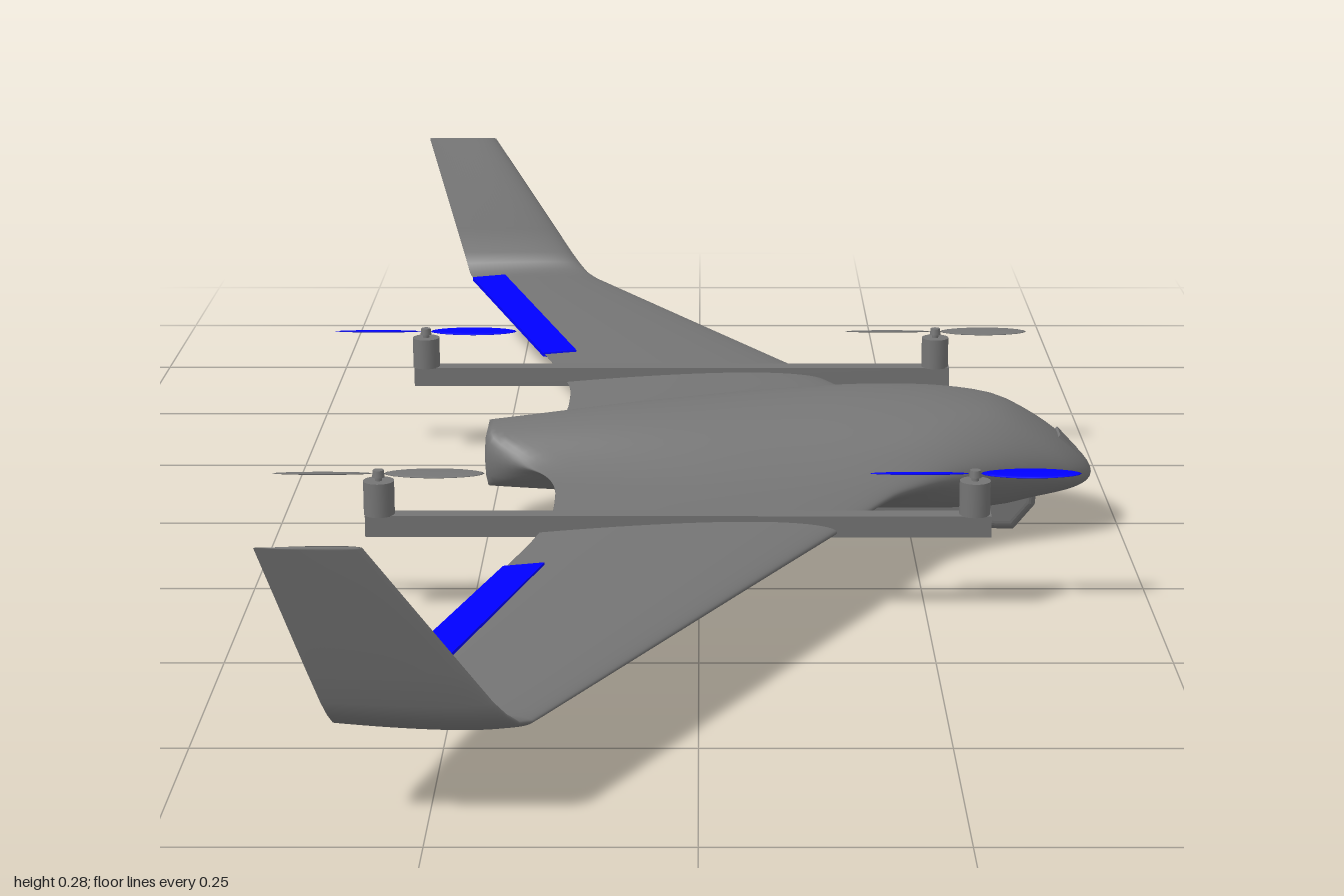
import * as THREE from 'three';

const grey = new THREE.MeshStandardMaterial({ color: 0x747474, side: THREE.DoubleSide });
const blue = new THREE.MeshStandardMaterial({ color: 0x0000ff, side: THREE.DoubleSide });

// smooth curve through [t, value] pairs
function curve(pts) {
  const slope = (i) => {
    const a = pts[Math.max(i - 1, 0)], b = pts[Math.min(i + 1, pts.length - 1)];
    return (b[1] - a[1]) / (b[0] - a[0]);
  };
  return (t) => {
    if (t <= pts[0][0]) return pts[0][1];
    let i = 0;
    while (i < pts.length - 2 && t > pts[i + 1][0]) i++;
    const [t0, v0] = pts[i], [t1, v1] = pts[i + 1], h = t1 - t0;
    const u = Math.min((t - t0) / h, 1), u2 = u * u, u3 = u2 * u;
    return (2 * u3 - 3 * u2 + 1) * v0 + (u3 - 2 * u2 + u) * h * slope(i)
      + (3 * u2 - 2 * u3) * v1 + (u3 - u2) * h * slope(i + 1);
  };
}

// planform: leading and trailing edge x against span
const lead = curve([[-0.05, 0.445], [0, 0.467], [0.05, 0.445], [0.08, 0.40], [0.1, 0.36], [0.13, 0.30],
  [0.16, 0.26], [0.2, 0.222], [0.3, 0.17], [0.5, 0.065], [0.9, -0.143]]);
const trail = curve([[0, -0.252], [0.035, -0.252], [0.055, -0.232], [0.08, -0.205], [0.11, -0.182],
  [0.15, -0.168], [0.2, -0.163], [0.3, -0.167], [0.46, -0.205], [0.9, -0.325]]);
// fuselage side profile: axis height and half heights against x
const axis = curve([[-0.25, 0.093], [0, 0.097], [0.2, 0.1], [0.35, 0.095], [0.4, 0.085], [0.465, 0.07]]);
const above = curve([[-0.25, 0.036], [-0.1, 0.05], [0, 0.057], [0.1, 0.064], [0.2, 0.069], [0.3, 0.068], [0.4, 0.055], [0.465, 0.04]]);
const below = curve([[-0.25, 0.04], [0, 0.054], [0.2, 0.066], [0.35, 0.06], [0.4, 0.046], [0.465, 0.035]]);
const bodyWidth = curve([[-0.25, 0.058], [-0.15, 0.08], [0, 0.12], [0.1, 0.126], [0.47, 0.126]]);

const airfoil = (s) => 10 * (0.2969 * Math.sqrt(s) - 0.126 * s - 0.3516 * s * s + 0.2843 * s ** 3 - 0.1036 * s ** 4);
const roundEnd = (d, len) => Math.sqrt(Math.max(0, 1 - (1 - Math.min(d / len, 1)) ** 2));

// blended wing and fuselage, lofted across the span with upturned tips
function airframe() {
  const half = [];
  for (let i = 0; i <= 30; i++) half.push({ z: 0.3 * (i / 30) ** 1.15 });
  for (let i = 1; i <= 8; i++) half.push({ z: 0.3 + 0.6 * i / 8 });
  // winglet stations: z, y, leading x, trailing x, tilt, half thickness
  for (const [z, y, le, te, tilt, th] of [
    [0.92, 0.0945, -0.153, -0.331, 0.2, 0.007], [0.935, 0.099, -0.164, -0.336, 0.6, 0.007],
    [0.945, 0.11, -0.175, -0.34, 1.0, 0.007], [0.952, 0.125, -0.187, -0.345, 1.25, 0.0065],
    [0.962, 0.16, -0.211, -0.356, 1.32, 0.006], [0.995, 0.286, -0.298, -0.395, 1.32, 0.004],
    [0.9955, 0.287, -0.302, -0.393, 1.32, 0]]) half.push({ z, y, le, te, tilt, th });
  const stations = [
    ...half.slice(1).reverse().map((s) => ({ ...s, side: -1 })),
    ...half.map((s) => ({ ...s, side: 1 }))];

  const N = 44, ring = 2 * N, pos = [], index = [];
  for (const st of stations) {
    const { z, side, tilt = 0 } = st;
    const le = st.le ?? lead(z), te = st.te ?? trail(z);
    const th = st.th ?? 0.0155 - 0.0085 * Math.min(z / 0.9, 1);
    const tailRound = 0.004 + THREE.MathUtils.clamp((z - 0.025) * 0.5, 0, 0.05);
    for (let k = 0; k < ring; k++) {
      const s = (1 + Math.cos(Math.PI * k / N)) / 2;
      const x = le + (te - le) * s, upper = k < N;
      const g = st.y ? 0 : Math.exp(-((z / bodyWidth(x)) ** 2.4));
      const close = roundEnd(le - x, 0.12) * roundEnd(x - te, tailRound);
      const h = th * Math.max(airfoil(s), 0) * (1 - g) + (upper ? above(x) : below(x)) * g * close;
      const wingY = st.y ?? 0.097 - 0.003 * z / 0.9;
      const mid = wingY + g * (axis(x) - wingY), off = upper ? h : -h;
      pos.push(x, mid + off * Math.cos(tilt), side * (z - off * Math.sin(tilt)));
    }
  }
  for (let i = 0; i < stations.length - 1; i++) for (let k = 0; k < ring; k++) {
    const a = i * ring + k, b = i * ring + (k + 1) % ring;
    index.push(a, a + ring, b, b, a + ring, b + ring);
  }
  const geo = new THREE.BufferGeometry();
  geo.setAttribute('position', new THREE.Float32BufferAttribute(pos, 3));
  geo.setIndex(index);
  geo.computeVertexNormals();
  return geo;
}

function add(parent, name, geo, mat, x = 0, y = 0, z = 0) {
  const mesh = new THREE.Mesh(geo, mat);
  mesh.name = name;
  mesh.position.set(x, y, z);
  parent.add(mesh);
  return mesh;
}

// two-bladed propeller lying along x
function propeller(mat) {
  const prop = new THREE.Group();
  prop.name = 'propeller';
  add(prop, 'hub', new THREE.CylinderGeometry(0.006, 0.007, 0.008, 16), grey);
  for (const s of [-1, 1]) {
    const blade = add(prop, 'blade', new THREE.SphereGeometry(1, 20, 10), mat, s * 0.061);
    blade.scale.set(0.055, 0.0015, 0.0115);
    blade.rotation.x = s * 0.2;
  }
  return prop;
}

// swept control surface, thicker at the hinge than at the rear
function elevon(side) {
  const geo = new THREE.BoxGeometry(1, 1, 1), p = geo.attributes.position;
  for (let i = 0; i < p.count; i++) {
    const front = p.getX(i) > 0, outer = p.getZ(i) > 0;
    const x = outer ? (front ? -0.283 : -0.33) : (front ? -0.163 : -0.207);
    p.setXYZ(i, x, 0.095 + Math.sign(p.getY(i)) * (front ? 0.0065 : 0.0025), outer ? 0.91 : 0.46);
  }
  if (side < 0) geo.scale(1, 1, -1).setIndex([...geo.index.array].reverse());
  geo.computeVertexNormals();
  return geo;
}

export function createModel() {
  const model = new THREE.Group();
  model.name = 'flyingWingDrone';
  add(model, 'blendedWingBody', airframe(), grey);

  // belly skid pod under the nose, with rounded edges
  const podShape = new THREE.Shape([[0.05, 0.06], [0.055, 0.045], [0.355, 0.015], [0.369, 0.015], [0.388, 0.038], [0.39, 0.06]]
    .map(([x, y]) => new THREE.Vector2(x, y)));
  const podGeo = new THREE.ExtrudeGeometry(podShape, { depth: 0.036, bevelSize: 0.012, bevelThickness: 0.012, bevelSegments: 6 });
  add(model, 'bellyPod', podGeo, grey, 0, 0, -0.018);
  // round hatch on the belly
  const hatch = add(model, 'bellyHatch', new THREE.CylinderGeometry(0.042, 0.038, 0.012, 32), grey, 0.08, 0.04, 0);
  hatch.rotation.z = -0.04;

  // nose camera window, set flush into the sloping nose
  const cam = add(model, 'noseCamera', new THREE.BoxGeometry(0.03, 0.036, 0.038), grey, 0.429, 0.095, 0);
  cam.rotation.z = 0.75;

  for (const side of [-1, 1]) {
    add(model, 'elevon', elevon(side), blue);

    // lift boom with a motor and propeller at each end
    const boom = new THREE.Group();
    boom.name = 'liftBoom';
    boom.position.z = side * 0.325;
    model.add(boom);
    add(boom, 'boomBeam', new THREE.BoxGeometry(0.685, 0.024, 0.022), grey, -0.0225, 0.1025, 0);
    for (const [x, mat] of [[0.302, side > 0 ? blue : grey], [-0.35, side > 0 ? grey : blue]]) {
      add(boom, 'motor', new THREE.CylinderGeometry(0.017, 0.017, 0.038, 24), grey, x, 0.133, 0);
      add(boom, 'motorShaft', new THREE.CylinderGeometry(0.004, 0.004, 0.012, 12), grey, x, 0.156, 0);
      const prop = propeller(mat);
      prop.position.set(x, 0.16, 0);
      boom.add(prop);
    }

    // small fairing and thin conduit beneath the wing
    const servo = add(model, 'servoFairing', new THREE.SphereGeometry(1, 16, 10), grey, -0.068, 0.086, side * 0.59);
    servo.scale.set(0.02, 0.007, 0.008);
    const conduit = add(model, 'servoConduit', new THREE.BoxGeometry(0.004, 0.004, 0.12), grey, -0.055, 0.0855, side * 0.53);
    conduit.rotation.y = -side * 0.2;
  }
  return model;
}
